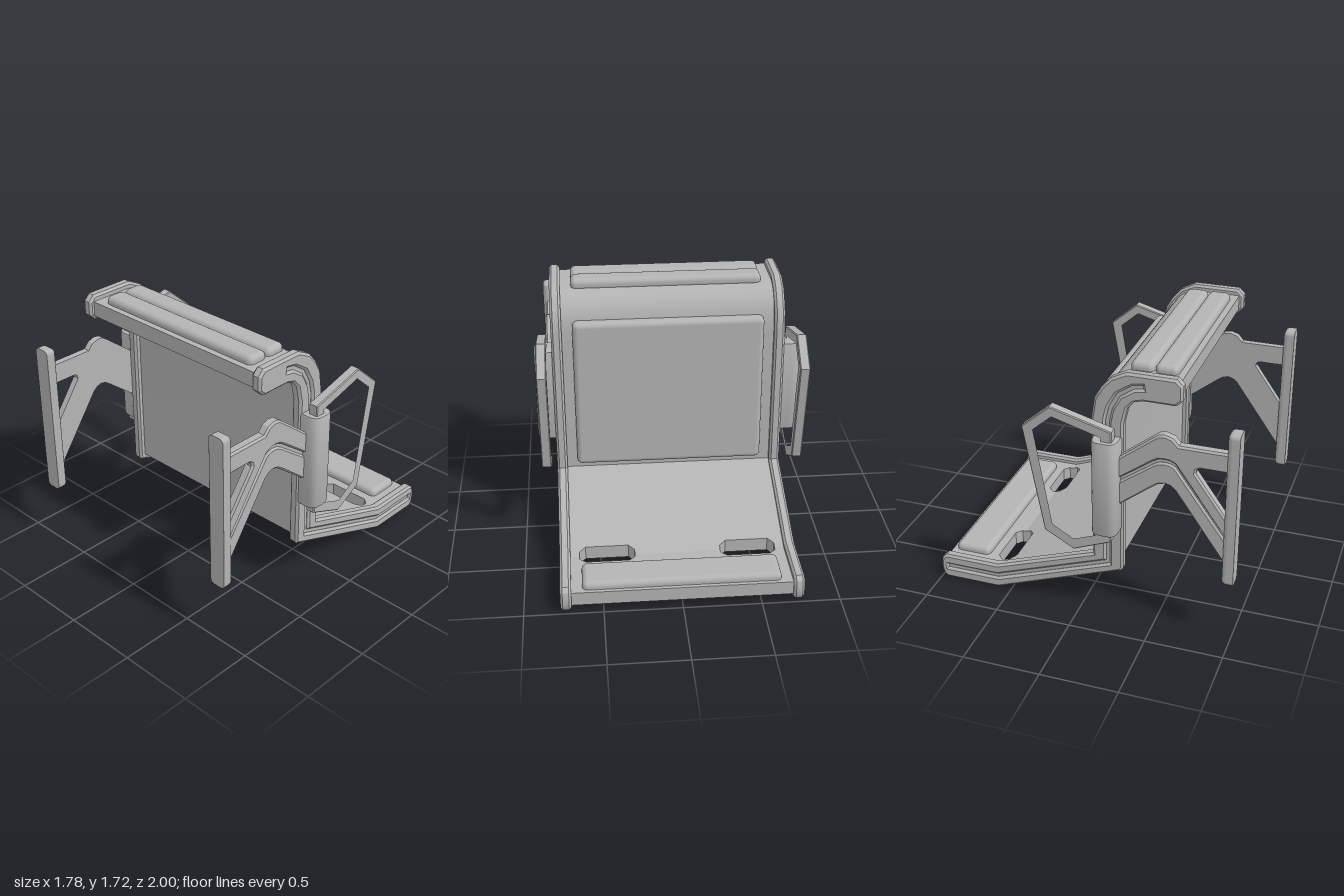
import * as THREE from 'three';
import { toCreasedNormals } from 'three/addons/utils/BufferGeometryUtils.js';
import { RoundedBoxGeometry } from 'three/addons/geometries/RoundedBoxGeometry.js';

const grey = new THREE.MeshStandardMaterial({ color: 0xb4b4b4 });
grey.name = 'grey';

// Extrudes an outline of [z, y] points from x0 to x1, with bevelled rims.
function sideProfile(points, x0, x1, bevel = 0, holes = []) {
  const toV = (list) => list.map(([z, y]) => new THREE.Vector2(-z, y));
  const shape = new THREE.Shape(toV(points));
  shape.holes = holes.map((h) => new THREE.Path(toV(h)));
  const g = new THREE.ExtrudeGeometry(shape, {
    depth: x1 - x0 - 2 * bevel, bevelEnabled: bevel > 0, bevelThickness: bevel,
    bevelSize: bevel, bevelOffset: -bevel, bevelSegments: 1,
  });
  g.translate(0, 0, x0 + bevel).rotateY(Math.PI / 2);
  return toCreasedNormals(g, 0.5);
}

// Extrudes an outline of [x, z] points upward.
function planProfile(points, height, bevel = 0) {
  const shape = new THREE.Shape(points.map(([x, z]) => new THREE.Vector2(x, -z)));
  const g = new THREE.ExtrudeGeometry(shape, {
    depth: height - 2 * bevel, bevelEnabled: bevel > 0, bevelThickness: bevel,
    bevelSize: bevel, bevelOffset: -bevel, bevelSegments: 2,
  });
  return g.translate(0, 0, bevel).rotateX(-Math.PI / 2);
}

// Points along a quadratic curve from a to b, pulled toward c.
function bend(a, c, b, n = 8) {
  const v = (p) => new THREE.Vector2(p[0], p[1]);
  return new THREE.QuadraticBezierCurve(v(a), v(c), v(b)).getPoints(n).map((p) => [p.x, p.y]);
}

// Closed outline of a strip with half width w around a path.
function strip(path, w) {
  const dir = (a, b) => new THREE.Vector2(b[0] - a[0], b[1] - a[1]).normalize();
  const left = [], right = [];
  path.forEach((p, i) => {
    const d0 = dir(path[Math.max(i - 1, 0)], path[Math.max(i, 1)]);
    const d1 = i < path.length - 1 ? dir(p, path[i + 1]) : d0;
    const m = d0.clone().add(d1).normalize();
    const k = w / m.dot(d0);
    left.push([p[0] - m.y * k, p[1] + m.x * k]);
    right.unshift([p[0] + m.y * k, p[1] - m.x * k]);
  });
  return [...left, ...right];
}

// Mirrored copy across x = 0, with corner order restored.
function mirrorX(source) {
  const g = source.clone().scale(-1, 1, 1);
  for (const attr of Object.values(g.attributes)) {
    const n = attr.itemSize, a = attr.array;
    for (let t = 0; t < attr.count; t += 3) {
      for (let k = 0; k < n; k++) {
        const i = (t + 1) * n + k, j = (t + 2) * n + k;
        [a[i], a[j]] = [a[j], a[i]];
      }
    }
  }
  return g;
}

export function createModel() {
  const model = new THREE.Group();
  model.name = 'foldingSeat';
  const add = (name, geometry) => {
    const mesh = new THREE.Mesh(geometry, grey);
    mesh.name = name;
    model.add(mesh);
  };
  const addPair = (name, geometry) => {
    add(name + 'Left', geometry);
    add(name + 'Right', mirrorX(geometry));
  };

  // Side frames: hooked top, upright and sloping foot, with a groove along the middle
  const frame = [
    [0.64, 1.67], [0.60, 1.71], [0.30, 1.71], [0.20, 1.66], [0.14, 1.59], [0.1, 1.52], [0.08, 1.39],
    [0.08, 0.42], [-0.59, 0.18], [-0.96, 0.18], [-0.99, 0.155], [-1.0, 0.12], [-1.0, 0.06],
    [-0.985, 0.025], [-0.96, 0.005], [-0.59, 0.005], [0.265, 0.325], [0.28, 0.345], [0.28, 1.37],
    [0.305, 1.48], [0.345, 1.525], [0.40, 1.54], [0.60, 1.54], [0.64, 1.58],
  ];
  const groove = [
    [0.40, 1.63], [0.34, 1.62], [0.25, 1.56], [0.20, 1.47], [0.18, 1.38],
    [0.18, 0.375], [-0.59, 0.093], [-0.95, 0.093],
  ];
  addPair('sideFrame', sideProfile(frame, 0.70, 0.77, 0.015, [strip(groove, 0.012)]));
  addPair('frameGroove', sideProfile(strip(groove, 0.02), 0.702, 0.753));

  // Backrest panel curling forward at the top
  const back = [
    [0.61, 1.67], ...bend([0.32, 1.67], [0.12, 1.65], [0.12, 1.37], 12), [0.12, 0.40],
    [0.24, 0.36], ...bend([0.24, 1.37], [0.25, 1.57], [0.42, 1.57], 12), [0.61, 1.57],
  ];
  add('backPanel', sideProfile(back, -0.705, 0.705));

  // Foot panel in two slabs that meet at the bend, with a pair of slots across it
  const bendZ = -0.59;
  const slope = 0.373;
  const footSlab = (farZ, slotZ) => {
    const c = Math.sign(slotZ - bendZ) * 0.035;
    const half = [[0.28, bendZ], [0.28, slotZ - c], [0.32, slotZ], [0.60, slotZ],
      [0.64, slotZ - c], [0.64, bendZ], [0.705, bendZ], [0.705, farZ]];
    const other = half.map(([x, z]) => [-x, z]).reverse();
    const g = planProfile([...half, ...other], 0.092);
    const p = g.attributes.position;
    for (let i = 0; i < p.count; i++) {
      p.setY(i, p.getY(i) + 0.05 + Math.max(0, p.getZ(i) - bendZ) * slope);
    }
    return toCreasedNormals(g, 0.4);
  };
  add('footPanelEnd', footSlab(-0.975, -0.65));
  add('footPanelSlope', footSlab(0.24, -0.52));

  // Cushions: [name, height, depth, y, z]
  for (const [name, h, d, y, z] of [
    ['backCushion', 1.05, 0.09, 0.975, 0.107],
    ['topCushionRear', 0.08, 0.145, 1.68, 0.348],
    ['topCushionFront', 0.08, 0.145, 1.68, 0.498],
    ['footCushion', 0.09, 0.24, 0.145, -0.83],
  ]) {
    add(name, new RoundedBoxGeometry(1.26, h, d, 4, 0.035).translate(0, y, z));
  }

  // Hinge housings, rounded on the outer side
  const housing = [
    [0.765, 0.105], ...bend([0.82, 0.105], [0.89, 0.105], [0.89, 0.17], 6),
    ...bend([0.89, 0.21], [0.89, 0.272], [0.82, 0.272], 6), [0.765, 0.272],
  ];
  addPair('hingeHousing', toCreasedNormals(planProfile(housing, 0.65, 0.015).translate(0, 0.64, 0), 0.6));

  // Angular grab handles behind the housings
  const handle = [[0.24, 1.36], [-0.147, 1.468], [-0.33, 1.31], [-0.2, 0.6], [-0.01, 0.495], [0.235, 0.595]];
  const opening = [[0.18, 1.32], [-0.135, 1.41], [-0.262, 1.3], [-0.153, 0.65], [-0.01, 0.565], [0.17, 0.635]];
  addPair('grabHandle', sideProfile(handle, 0.80, 0.865, 0.006, [opening]));

  // Support arms: a thin web with a raised upper beam and a raised lower rib
  const topEdge = [[0.95, 1.31], [0.635, 1.31], [0.6, 1.35], [0.55, 1.366], [0.51, 1.36], [0.475, 1.335], [0.2, 1.12]];
  const midEdge = [[0.2, 0.98], [0.475, 1.18], [0.51, 1.2], [0.55, 1.205], [0.585, 1.2], [0.615, 1.185], [0.95, 0.72]];
  const lowEdge = [[0.2, 0.785], [0.475, 1.0], [0.51, 1.025], [0.55, 1.035], [0.585, 1.025], [0.615, 1.0], [0.95, 0.53]];
  const gap = [[0.95, 0.85], [0.74, 1.145], [0.745, 1.17], [0.765, 1.182], [0.95, 1.182]];
  addPair('armWeb', sideProfile([...topEdge, ...lowEdge, ...gap], 0.755, 0.79));
  addPair('armBeam', sideProfile([...topEdge, ...midEdge, ...gap], 0.76, 0.812, 0.012));
  const rib = midEdge.map(([z, y]) => [z, y - 0.025]);
  addPair('armRib', sideProfile([...rib, ...lowEdge.slice().reverse()], 0.76, 0.803, 0.012));

  // Mounting plates, flat in front and rounded behind
  const plate = new RoundedBoxGeometry(0.113, 1.035, 0.11, 4, 0.03).translate(0.773, 0.928, 0.98);
  const p = plate.attributes.position;
  for (let i = 0; i < p.count; i++) {
    if (p.getZ(i) > 1.006) plate.attributes.normal.setXYZ(i, 0, 0, 1);
    p.setZ(i, Math.min(p.getZ(i), 1));
  }
  addPair('mountPlate', plate);

  return model;
}
